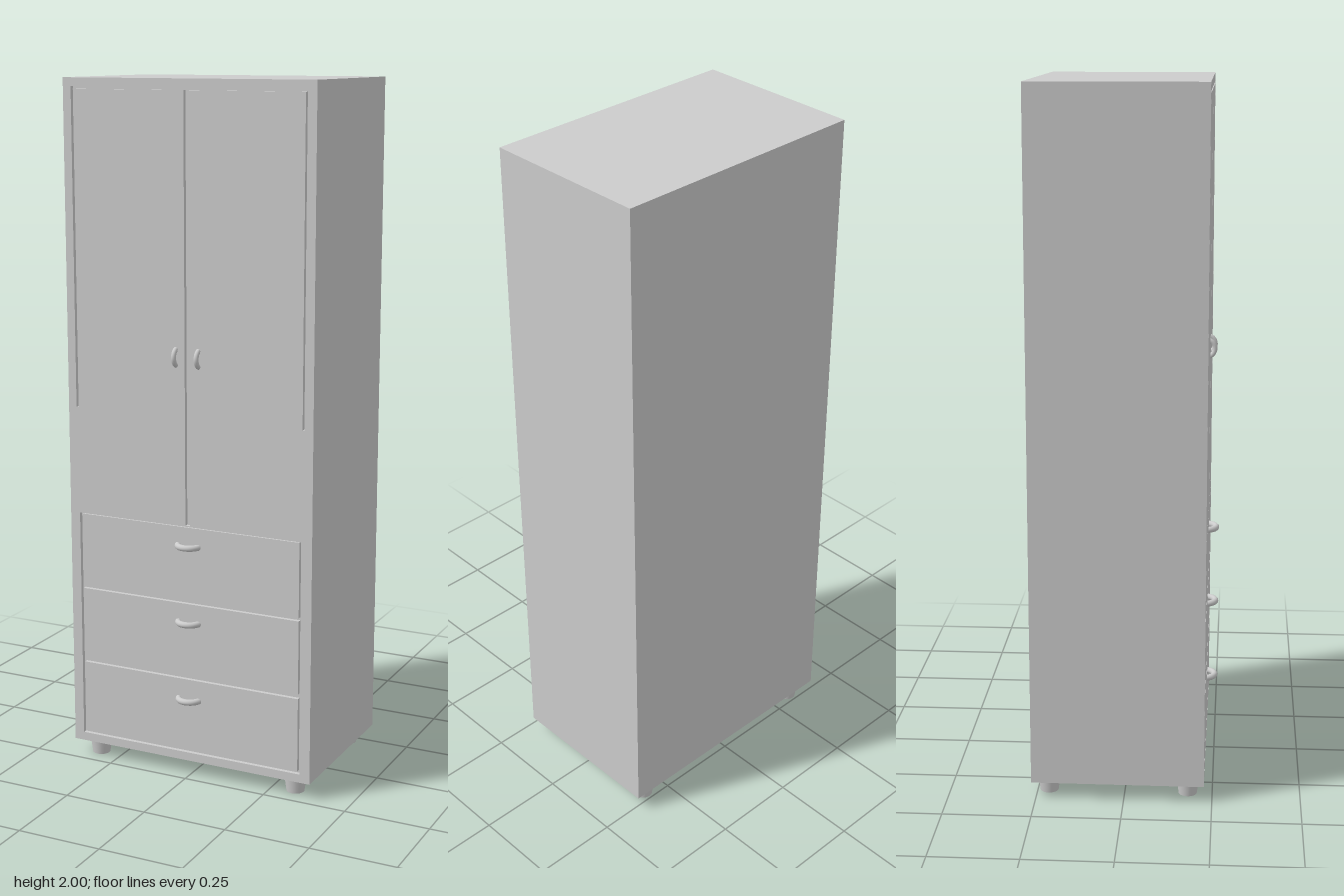
import * as THREE from 'three';

const material = new THREE.MeshStandardMaterial({ color: 0xcccccc });
const W = 0.383, BOTTOM = 0.047, TOP = 2, BACK = -0.263, FRONT = 0.227, GROOVE = 0.012;

function add(parent, name, geometry, x = 0, y = 0, z = 0) {
  const mesh = new THREE.Mesh(geometry, material);
  mesh.name = name;
  mesh.position.set(x, y, z);
  parent.add(mesh);
  return mesh;
}

const outline = (points) => points.map(([x, y]) => new THREE.Vector2(x, y));

// Half ring standing out from the front, its ends sunk into the panel
function addHandle(parent, name, x, y, radius, tube, vertical) {
  const geometry = new THREE.TorusGeometry(radius, tube, 12, 24, Math.PI);
  geometry.rotateX(Math.PI / 2);
  if (vertical) geometry.rotateZ(Math.PI / 2);
  add(parent, name, geometry, x, y, FRONT - GROOVE);
}

export function createModel() {
  const wardrobe = new THREE.Group();
  wardrobe.name = 'wardrobe';

  // Cabinet body behind the front plate
  const depth = FRONT - GROOVE - BACK;
  add(wardrobe, 'cabinetBody', new THREE.BoxGeometry(2 * W, TOP - BOTTOM, depth),
    0, (TOP + BOTTOM) / 2, BACK + depth / 2);

  // Front plate, cut by the door grooves and the drawer opening
  const plate = new THREE.Shape(outline([[-W, BOTTOM], [W, BOTTOM], [W, TOP], [-W, TOP]]));
  const outer = 0.358, inner = 0.351, mid = 0.007, head = 1.976, lintel = 1.969;
  const sideEnd = 1.07, midEnd = 0.758;
  plate.holes.push(new THREE.Path(outline([
    [-outer, sideEnd], [-outer, head], [outer, head], [outer, sideEnd],
    [inner, sideEnd], [inner, lintel], [mid, lintel], [mid, midEnd],
    [-mid, midEnd], [-mid, lintel], [-inner, lintel], [-inner, sideEnd],
  ])));
  plate.holes.push(new THREE.Path(outline([
    [-0.353, 0.072], [0.353, 0.072], [0.353, 0.755], [-0.353, 0.755],
  ])));
  add(wardrobe, 'doorsAndFrontFrame',
    new THREE.ExtrudeGeometry(plate, { depth: GROOVE, bevelEnabled: false }), 0, 0, FRONT - GROOVE);

  // Drawers: bottom, top and handle heights
  for (const [low, high, grip] of [[0.535, 0.753, 0.698], [0.311, 0.526, 0.47], [0.08, 0.297, 0.236]]) {
    const drawer = new THREE.Group();
    drawer.name = 'drawer';
    add(drawer, 'drawerFront', new THREE.BoxGeometry(0.69, high - low, GROOVE),
      0, (low + high) / 2, FRONT - GROOVE / 2);
    addHandle(drawer, 'drawerHandle', 0, grip, 0.034, 0.009, false);
    wardrobe.add(drawer);
  }

  // Door handles and feet, mirrored left and right
  for (const side of [-1, 1]) {
    addHandle(wardrobe, 'doorHandle', side * 0.035, 1.24, 0.025, 0.007, true);
    for (const z of [0.18, -0.217]) {
      add(wardrobe, 'foot', new THREE.CylinderGeometry(0.033, 0.026, 0.05, 24), side * 0.32, 0.025, z);
    }
  }
  return wardrobe;
}
